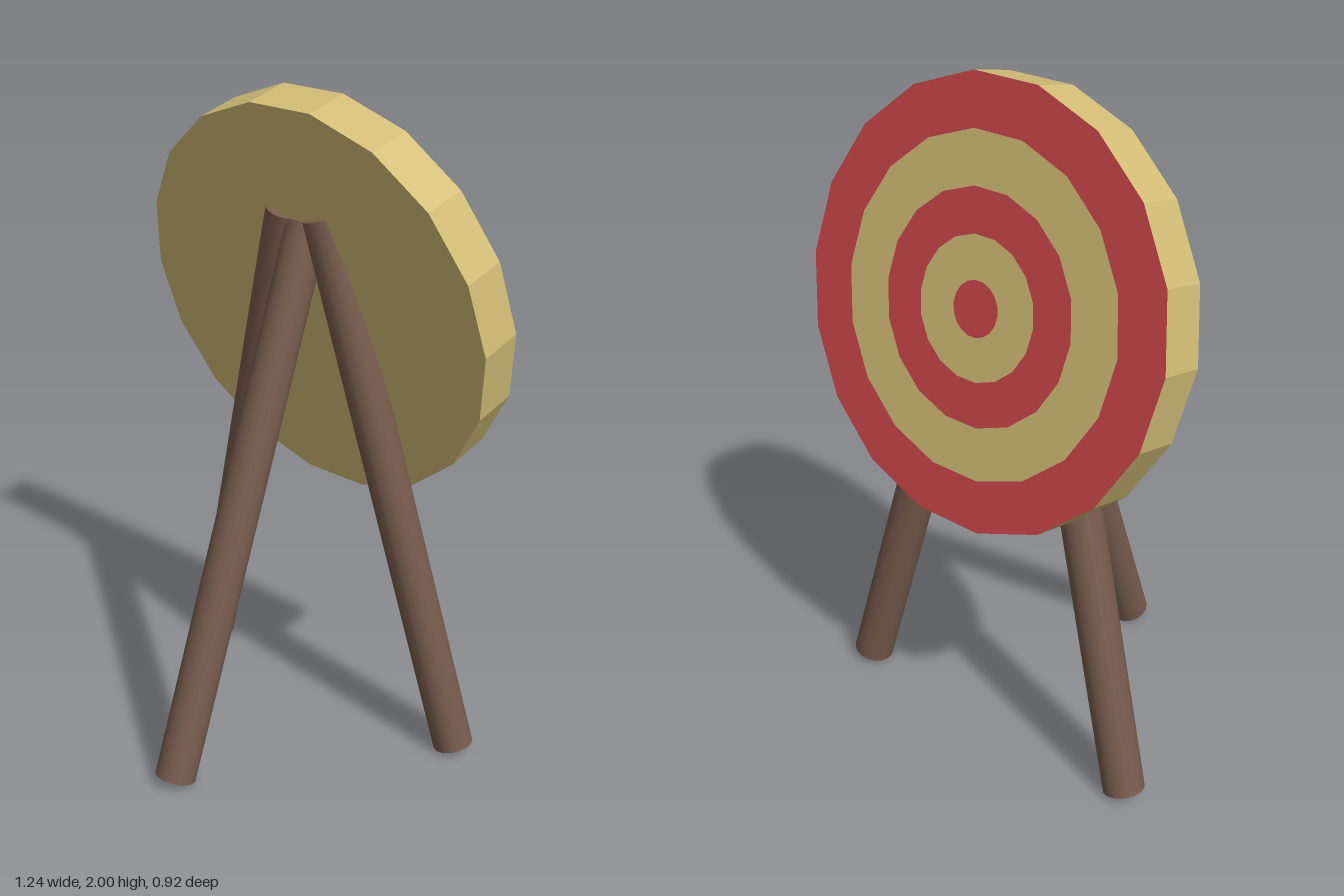
import * as THREE from 'three';

const SIDES = 18;

export function createModel() {
  const material = (name, color, flatShading = false) => {
    const m = new THREE.MeshStandardMaterial({ color, flatShading });
    m.name = name;
    return m;
  };
  const straw = material('straw', 0xd2bd76, true);
  const red = material('red', 0xcb4549);
  const wood = material('wood', 0x765a4c);

  const model = new THREE.Group();
  model.name = 'archeryTarget';

  const add = (parent, name, geometry, mat) => {
    const mesh = new THREE.Mesh(geometry, mat);
    mesh.name = name;
    parent.add(mesh);
    return mesh;
  };

  // Tilted round board: rim, plain face (+z) and painted face (-z)
  const radius = 0.62, thickness = 0.143;
  const board = new THREE.Group();
  board.name = 'board';
  board.position.set(0, 1.39, -0.255);
  board.rotation.x = THREE.MathUtils.degToRad(12.8);
  model.add(board);

  const rim = new THREE.CylinderGeometry(radius, radius, thickness, SIDES, 1, true, Math.PI / 2);
  add(board, 'boardRim', rim.rotateX(Math.PI / 2), straw);
  add(board, 'plainFace', new THREE.CircleGeometry(radius, SIDES).translate(0, 0, thickness / 2), straw);

  // Concentric rings, alternating red and straw from the outside in
  const radii = [radius, 0.473, 0.325, 0.2, 0.078, 0];
  for (let i = 0; i < radii.length - 1; i++) {
    const ring = radii[i + 1] > 0
      ? new THREE.RingGeometry(radii[i + 1], radii[i], SIDES)
      : new THREE.CircleGeometry(radii[i], SIDES);
    ring.rotateY(Math.PI).translate(0, 0, -thickness / 2);
    add(board, `ring${i + 1}`, ring, i % 2 ? straw : red);
  }

  // Round tripod legs, each running from foot to top
  const leg = (name, foot, top) => {
    const a = new THREE.Vector3(...foot), b = new THREE.Vector3(...top);
    const axis = b.clone().sub(a);
    const mesh = add(model, name, new THREE.CylinderGeometry(0.062, 0.062, axis.length(), 20), wood);
    mesh.position.copy(a).add(b).multiplyScalar(0.5);
    mesh.quaternion.setFromUnitVectors(new THREE.Vector3(0, 1, 0), axis.normalize());
  };
  leg('frontLeg', [0, 0.024, 0.405], [0, 1.625, -0.174]);
  leg('leftLeg', [0.515, 0.02, -0.303], [0.068, 1.658, -0.163]);
  leg('rightLeg', [-0.515, 0.02, -0.303], [-0.068, 1.658, -0.163]);

  return model;
}
